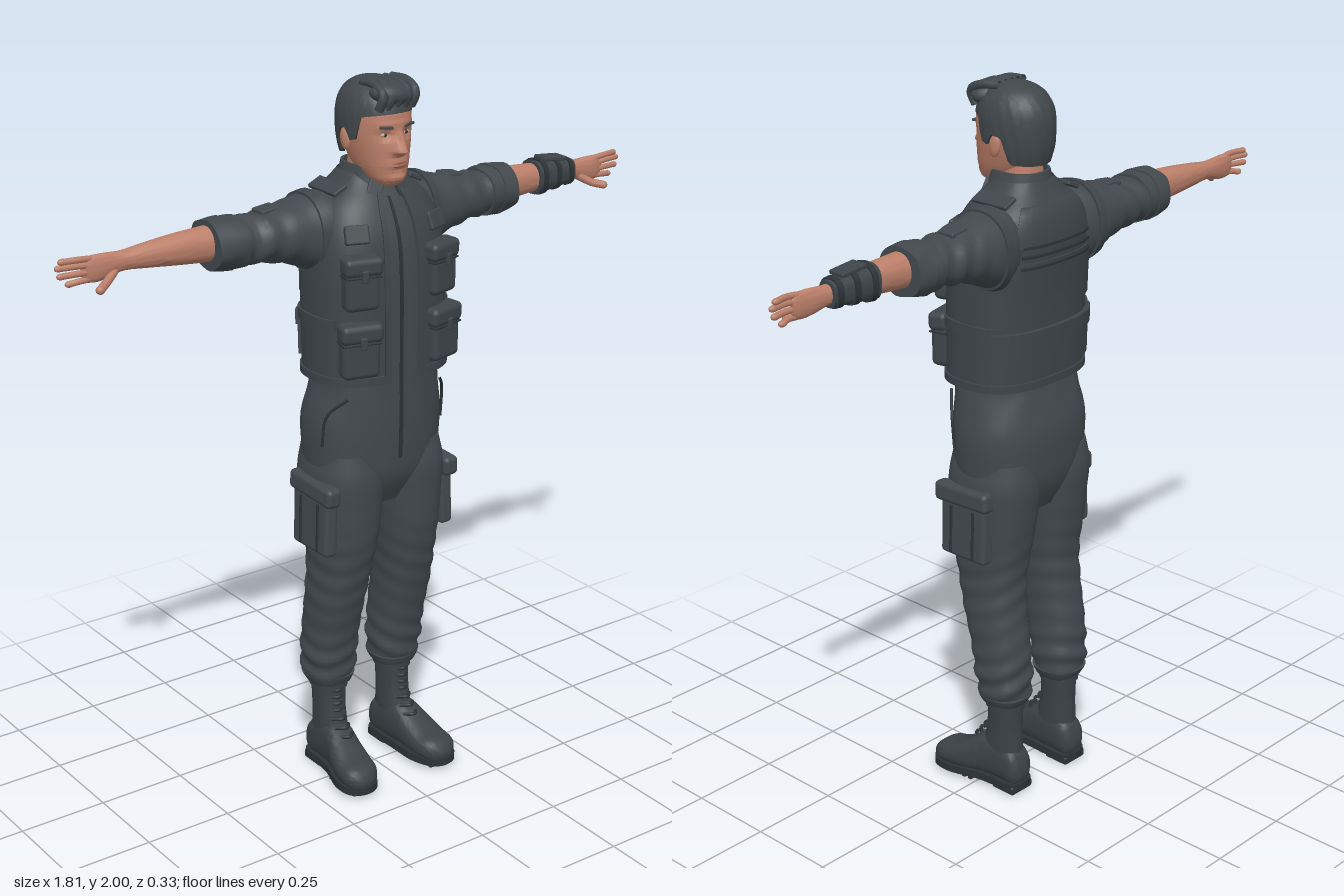
import * as THREE from 'three';
import { toCreasedNormals } from 'three/addons/utils/BufferGeometryUtils.js';
import { RoundedBoxGeometry } from 'three/addons/geometries/RoundedBoxGeometry.js';

const PI = Math.PI;
const mat = (name, color) => Object.assign(new THREE.MeshStandardMaterial({ color }), { name });

// Smooth bounds [a0, a1, b0, b1] at position p along a list of cross-sections
function sample(rows, p) {
  let i = 0;
  while (i < rows.length - 2 && p > rows[i + 1][0]) i++;
  const a = rows[i], b = rows[i + 1], h = b[0] - a[0], t = Math.min(1, Math.max(0, (p - a[0]) / h));
  const q = rows[i - 1] || a, r = rows[i + 2] || b, t2 = t * t, t3 = t2 * t;
  return [1, 2, 3, 4].map((k) => {
    const m0 = (b[k] - q[k]) / (b[0] - q[0]) * h, m1 = (r[k] - a[k]) / (r[0] - a[0]) * h;
    return (2 * t3 - 3 * t2 + 1) * a[k] + (t3 - 2 * t2 + t) * m0 + (3 * t2 - 2 * t3) * b[k] + (t3 - t2) * m1;
  });
}

// Skin rounded cross-sections along an axis; a band is a raised strip of the same surface
function loft(rows, o = {}) {
  const { axis = 'y', from = rows[0][0], to = rows[rows.length - 1][0], steps = 28, seg = 36, n = 2.4,
    t0 = 0, t1 = 2 * PI, grow = 0, band = false, bump = () => 0, crease = 0.9 } = o;
  const full = t1 - t0 > 6.28, pos = [], idx = [];
  const ps = [], ts = [];
  for (let i = 0; i <= steps; i++) ps.push([from + (to - from) * i / steps, grow]);
  for (let j = 0; j <= seg; j++) ts.push([t0 + (t1 - t0) * j / seg, 1]);
  if (band) { ps.unshift([from, -0.004]); ps.push([to, -0.004]); }
  if (band && !full) { ts.unshift([t0, 0]); ts.push([t1, 0]); }
  const put = (u, p, v) => pos.push(...(axis === 'y' ? [u, p, v] : axis === 'x' ? [p, v, u] : [v, u, p]));
  for (const [p, gr] of ps) {
    const [a0, a1, b0, b1] = sample(rows, p);
    for (const [t, k] of ts) {
      const c = Math.cos(t), s = Math.sin(t), e = 2 / n;
      const cu = Math.sign(c) * Math.abs(c) ** e, sv = Math.sign(s) * Math.abs(s) ** e;
      const u = (a0 + a1) / 2 + (a1 - a0) / 2 * cu, v = (b0 + b1) / 2 + (b1 - b0) / 2 * sv;
      const g = (k ? gr : -0.004) + bump(p, u, v);
      put(u + g * cu, p, v + g * sv);
    }
  }
  const w = ts.length, last = ps.length - 1;
  for (let i = 0; i < last; i++) for (let j = 0; j < w - 1; j++) {
    const a = i * w + j, b = a + w;
    idx.push(a, b, a + 1, b, b + 1, a + 1);
  }
  if (full && !band) for (const [i, flip] of [[0, false], [last, true]]) {
    const [a0, a1, b0, b1] = sample(rows, ps[i][0]), c = pos.length / 3;
    put((a0 + a1) / 2, ps[i][0], (b0 + b1) / 2);
    for (let j = 0; j < w - 1; j++) idx.push(c, i * w + j + (flip ? 1 : 0), i * w + j + (flip ? 0 : 1));
  }
  const geo = new THREE.BufferGeometry();
  geo.setAttribute('position', new THREE.Float32BufferAttribute(pos, 3));
  geo.setIndex(idx);
  return toCreasedNormals(geo, crease);
}

function mirrored(geo) {
  const g = geo.index ? geo.toNonIndexed() : geo.clone();
  g.applyMatrix4(new THREE.Matrix4().makeScale(-1, 1, 1));
  for (const a of Object.values(g.attributes)) {
    for (let i = 0; i < a.count; i += 3) for (let k = 0; k < a.itemSize; k++) {
      const x = a.getComponent(i + 1, k);
      a.setComponent(i + 1, k, a.getComponent(i + 2, k));
      a.setComponent(i + 2, k, x);
    }
  }
  return g;
}

const box = (w, h, d, x, y, z, ry = 0, rx = 0, rz = 0) => new RoundedBoxGeometry(w, h, d, 2, Math.min(w, h, d) * 0.3)
  .rotateX(rx).rotateZ(rz).rotateY(ry).translate(x, y, z);
const ball = (x, y, z, a, b, c) => new THREE.SphereGeometry(1, 20, 14).scale(a, b, c).translate(x, y, z);
const tube = (pts, r, seg = 12) => new THREE.TubeGeometry(
  new THREE.CatmullRomCurve3(pts.map((p) => new THREE.Vector3(...p))), seg, r, 8);
const bell = (x, c, w) => Math.exp(-(((x - c) / w) ** 2));

export function createModel() {
  const root = new THREE.Group();
  root.name = 'standingMan';
  const suit = mat('suitGrey', 0x42494d), vestM = mat('vestGrey', 0x3e4549), bootM = mat('bootGrey', 0x3b4246);
  const hairM = mat('hairGrey', 0x40474b), trim = mat('darkTrim', 0x2d3336), skin = mat('skin', 0xbb7f69);
  const lip = mat('lips', 0x9d6152), white = mat('eyeWhite', 0xb5aca4);
  vestM.side = THREE.DoubleSide; suit.side = THREE.DoubleSide;
  const add = (name, geo, m) => {
    const mesh = new THREE.Mesh(geo, m);
    mesh.name = name;
    root.add(mesh);
  };
  const both = (name, geo, m) => { add(name + 'Left', geo, m); add(name + 'Right', mirrored(geo), m); };
  const sym = (list) => list.map(([y, x, b, f]) => [y, -x, x, b, f]);

  // Suit body and legs
  const torso = sym([[0.84, 0.13, -0.11, 0.07], [0.92, 0.185, -0.145, 0.108], [1.0, 0.197, -0.155, 0.117],
    [1.08, 0.199, -0.155, 0.12], [1.15, 0.188, -0.14, 0.12], [1.21, 0.178, -0.126, 0.12], [1.35, 0.18, -0.13, 0.12],
    [1.5, 0.185, -0.142, 0.118], [1.6, 0.172, -0.145, 0.105], [1.68, 0.13, -0.13, 0.068], [1.73, 0.075, -0.1, 0.03]]);
  add('suitBody', loft(torso, { steps: 50, bump: (p, u, v) => 0.0025 * bell(p, 1.2, 0.07) * Math.sin(u * 60 + p * 40) }), suit);
  add('frontZip', loft(torso, { from: 0.98, to: 1.69, t0: PI / 2 - 0.012, t1: PI / 2 + 0.012, seg: 2, grow: 0.004, band: true }), trim);
  both('hipPocketSeam', tube([[0.15, 1.17, 0.09], [0.19, 1.12, 0.05], [0.197, 1.03, 0.035]], 0.004), trim);
  const leg = [[0.27, 0.058, 0.163, -0.122, -0.012], [0.3, 0.045, 0.178, -0.138, 0], [0.36, 0.04, 0.185, -0.14, 0.012],
    [0.45, 0.04, 0.185, -0.135, 0.03], [0.55, 0.037, 0.187, -0.12, 0.056], [0.65, 0.028, 0.186, -0.116, 0.08],
    [0.75, 0.014, 0.19, -0.13, 0.1], [0.85, 0.002, 0.196, -0.143, 0.108], [0.93, 0, 0.199, -0.15, 0.112], [1.0, 0.02, 0.185, -0.14, 0.1]];
  both('leg', loft(leg, { steps: 60, bump: (p, u, v) =>
    (0.005 * bell(p, 0.34, 0.09) + 0.002 * bell(p, 0.62, 0.12)) * Math.sin(p * 95 + v * 25 + u * 30) }), suit);
  both('trouserCuff', loft(leg, { from: 0.275, to: 0.3, steps: 3, grow: 0.004, band: true }), suit);

  // Thigh pockets
  both('thighPocket', box(0.04, 0.17, 0.16, 0.193, 0.805, -0.005, 0, 0, 0.03), suit);
  both('thighPocketFlap', box(0.046, 0.055, 0.19, 0.196, 0.9, 0, 0, 0.04, 0.03), suit);
  for (const z of [-0.045, 0.035]) both('thighPocketPleat', box(0.006, 0.14, 0.008, 0.214, 0.8, z, 0, 0, 0.03), trim);

  // Boots
  const shaft = [[0.06, 0.07, 0.152, -0.125, 0.01], [0.12, 0.07, 0.152, -0.122, 0], [0.2, 0.07, 0.152, -0.118, -0.016],
    [0.3, 0.066, 0.156, -0.122, -0.018]];
  both('bootShaft', loft(shaft), bootM);
  both('bootCollar', loft(shaft, { from: 0.255, to: 0.275, steps: 3, grow: 0.005, band: true }), bootM);
  const foot = [[-0.138, 0.04, 0.075, 0.09, 0.135], [-0.125, 0.022, 0.12, 0.072, 0.15], [-0.07, 0.02, 0.15, 0.068, 0.155],
    [-0.01, 0.02, 0.15, 0.07, 0.162], [0.04, 0.02, 0.118, 0.072, 0.178], [0.09, 0.02, 0.092, 0.075, 0.187],
    [0.13, 0.02, 0.082, 0.085, 0.185], [0.15, 0.022, 0.066, 0.105, 0.17], [0.158, 0.03, 0.05, 0.125, 0.155]];
  both('bootFoot', loft(foot, { axis: 'z', n: 2.7 }), bootM);
  const outline = new THREE.Shape();
  outline.setFromPoints(new THREE.SplineCurve([[0.112, -0.142], [0.153, -0.125], [0.158, -0.06], [0.166, 0], [0.19, 0.08], [0.182, 0.14],
    [0.14, 0.162], [0.095, 0.145], [0.07, 0.08], [0.068, 0], [0.066, -0.06], [0.07, -0.125], [0.112, -0.142]]
    .map(([x, z]) => new THREE.Vector2(x, -z))).getPoints(60));
  both('bootSole', new THREE.ExtrudeGeometry(outline, { depth: 0.022, bevelEnabled: false }).rotateX(-PI / 2).translate(0, 0.012, 0), trim);
  both('bootHeel', box(0.084, 0.026, 0.08, 0.112, 0.013, -0.094), trim);
  for (let i = 0; i < 6; i++) both('soleLug', box(0.09 - 0.004 * i * (i > 3), 0.02, 0.014, 0.124 + 0.002 * i, 0.01, 0.02 + i * 0.022), trim);
  for (let i = 0; i < 7; i++) {
    const y = 0.125 + i * 0.021, z = 0.034 - 0.05 * Math.min(1, i / 3);
    both('bootLace', tube([[0.09, y, z - 0.018], [0.113, y + 0.004, z + 0.004], [0.136, y, z - 0.018]], 0.005), trim);
  }

  // Sleeves with rolled ends
  const sleeve = [[0.11, -0.135, 0.05, 1.5, 1.7], [0.16, -0.148, 0.045, 1.49, 1.703], [0.2, -0.15, 0.036, 1.505, 1.695],
    [0.25, -0.145, 0.03, 1.527, 1.684], [0.3, -0.14, 0.024, 1.54, 1.675], [0.36, -0.135, 0.014, 1.548, 1.668],
    [0.42, -0.13, 0.008, 1.55, 1.67], [0.478, -0.126, 0.004, 1.558, 1.668]];
  both('sleeve', loft(sleeve, { axis: 'x', steps: 50, n: 2.2, bump: (p, u, v) =>
    0.004 * bell(p, 0.36, 0.1) * Math.sin(p * 90 + u * 40 + v * 25) }), suit);
  for (const [a, b, g] of [[0.39, 0.432, 0.006], [0.428, 0.478, 0.009]])
    both('sleeveRoll', loft(sleeve, { axis: 'x', from: a, to: b, steps: 6, n: 2.2, grow: g, band: true,
      bump: (p, u, v) => 0.002 * Math.sin(u * 90 + v * 60 + p * 40) }), suit);
  both('sleeveTab', box(0.055, 0.012, 0.05, 0.295, 1.675, -0.065, 0, 0, -0.12), suit);

  // Forearms and hands
  const arm = [[0.42, -0.11, -0.012, 1.57, 1.666], [0.5, -0.1, -0.02, 1.573, 1.663], [0.58, -0.097, -0.025, 1.58, 1.658],
    [0.66, -0.09, -0.034, 1.588, 1.65], [0.72, -0.083, -0.043, 1.592, 1.643], [0.755, -0.08, -0.045, 1.584, 1.645],
    [0.79, -0.076, -0.045, 1.577, 1.647], [0.82, -0.072, -0.05, 1.58, 1.645], [0.832, -0.067, -0.056, 1.59, 1.638]];
  both('forearmAndPalm', loft(arm, { axis: 'x', n: 2.2 }), skin);
  [[1.638, 0.882, 1.642], [1.621, 0.892, 1.627], [1.604, 0.887, 1.606], [1.588, 0.865, 1.583]].forEach(([y, x, yt]) => {
    both('finger', tube([[0.8, y, -0.061], [0.84, (y + yt) / 2 + 0.002, -0.059], [x, yt, -0.066]], 0.0085), skin);
    both('fingertip', ball(x, yt, -0.066, 0.012, 0.0085, 0.0085), skin);
  });
  both('thumb', tube([[0.745, 1.598, -0.055], [0.78, 1.578, -0.036], [0.808, 1.57, -0.016]], 0.011), skin);
  both('thumbTip', ball(0.808, 1.57, -0.016, 0.012, 0.011, 0.011), skin);

  // Wrist guard on the left forearm
  add('wristGuard', loft(arm, { axis: 'x', from: 0.58, to: 0.72, steps: 8, n: 2.8, grow: 0.008, band: true }), vestM);
  for (const x of [0.592, 0.645, 0.695])
    add('wristGuardStrap', loft(arm, { axis: 'x', from: x, to: x + 0.016, steps: 2, n: 2.8, grow: 0.012, band: true }), trim);
  add('wristGuardPlate', box(0.08, 0.012, 0.05, 0.65, 1.664, -0.063, 0, 0, -0.1), vestM);

  // Open vest with hem, edges, armholes and back panels
  const vest = sym([[1.21, 0.197, -0.143, 0.138], [1.3, 0.197, -0.146, 0.138], [1.45, 0.197, -0.15, 0.136], [1.55, 0.192, -0.157, 0.13],
    [1.62, 0.178, -0.158, 0.115], [1.68, 0.15, -0.146, 0.085], [1.72, 0.104, -0.118, 0.055], [1.75, 0.076, -0.098, 0.035]]);
  const gap = 0.17, around = { t0: PI / 2 + gap, t1: PI * 2.5 - gap, seg: 48, n: 2.6 };
  add('vest', loft(vest, { ...around, steps: 36 }), vestM);
  add('vestHem', loft(vest, { ...around, from: 1.21, to: 1.232, steps: 2, grow: 0.005, band: true }), vestM);
  both('vestFrontEdge', loft(vest, { from: 1.21, to: 1.74, t0: PI / 2 - gap - 0.06, t1: PI / 2 - gap + 0.02, seg: 4, n: 2.6, grow: 0.006, band: true }), vestM);
  both('vestArmhole', loft(sleeve, { axis: 'x', from: 0.165, to: 0.19, steps: 3, n: 2.2, grow: 0.007, band: true }), vestM);
  const back = (name, a, b, half, grow, m = vestM) => add(name, loft(vest, { from: a, to: b, steps: 6, seg: 24, n: 2.6,
    t0: 1.5 * PI - half, t1: 1.5 * PI + half, grow, band: true }), m);
  back('backYoke', 1.6, 1.7, 0.75, 0.006);
  back('backPanel', 1.42, 1.56, 0.85, 0.005);
  back('lowerBackPouch', 1.25, 1.36, 1.0, 0.008);
  back('lowerBackFlap', 1.335, 1.375, 1.05, 0.013);
  for (const y of [1.545, 1.575, 1.6]) back('backSeam', y, y + 0.007, 0.6, 0.009, trim);
  both('sideStrap', loft(vest, { from: 1.36, to: 1.39, steps: 2, seg: 8, n: 2.6, t0: -0.7, t1: 0.5, grow: 0.006, band: true }), vestM);

  // Vest pockets
  const pocket = (name, w, h, x, y, z, ry) => {
    both(name, box(w, h, 0.055, x, y, z, ry), vestM);
    both(name + 'Flap', box(w + 0.012, h * 0.36, 0.058, x, y + h * 0.36, z + 0.006, ry, 0.06), vestM);
    both(name + 'FlapShadowSeam', box(w + 0.002, 0.005, 0.057, x, y + h * 0.16, z + 0.001, ry), trim);
    both(name + 'Tab', box(0.018, 0.032, 0.01, x + 0.033 * Math.sin(ry), y + h * 0.2, z + 0.034, ry), vestM);
  };
  pocket('chestPocket', 0.095, 0.14, 0.126, 1.49, 0.113, 0.25);
  pocket('lowerPocket', 0.105, 0.145, 0.132, 1.31, 0.115, 0.25);
  both('shoulderPatch', box(0.065, 0.05, 0.02, 0.125, 1.615, 0.096, 0.35, -0.35), vestM);
  both('shoulderStrap', box(0.045, 0.012, 0.12, 0.12, 1.712, -0.04, 0, 0, -0.45), vestM);

  // Neck and collar
  add('neck', loft(sym([[1.66, 0.05, -0.09, 0.035], [1.7, 0.056, -0.085, 0.03], [1.75, 0.055, -0.08, 0.035], [1.79, 0.054, -0.075, 0.05]])), skin);
  const collar = sym([[1.69, 0.086, -0.105, 0.062], [1.73, 0.075, -0.1, 0.055], [1.77, 0.066, -0.094, 0.05]]);
  add('collar', loft(collar, { t0: PI / 2 + 0.3, t1: PI * 2.5 - 0.3, grow: 0.003, band: true }), suit);
  both('collarPoint', box(0.04, 0.055, 0.012, 0.04, 1.715, 0.058, 0.45, -0.3, 0.35), suit);

  // Head: nose, eye sockets, lips and chin shaped by a rule
  const head = sym([[1.722, 0.022, 0.03, 0.085], [1.735, 0.042, 0, 0.1], [1.765, 0.06, -0.05, 0.106], [1.8, 0.071, -0.08, 0.106],
    [1.84, 0.079, -0.095, 0.105], [1.88, 0.082, -0.1, 0.104], [1.92, 0.08, -0.1, 0.1], [1.955, 0.065, -0.08, 0.08], [1.975, 0.04, -0.05, 0.05]]);
  const face = (y, x, z) => {
    if (z < 0.03) return 0;
    const ny = y > 1.818 ? Math.max(0, 1 - (y - 1.818) / 0.06) : Math.max(0, 1 - (1.818 - y) / 0.018);
    return 0.034 * ny * bell(x, 0, 0.011 + 0.005 * ny) - 0.009 * bell(Math.abs(x), 0.033, 0.016) * bell(y, 1.86, 0.012)
      + 0.004 * bell(y, 1.885, 0.01) * bell(x, 0, 0.05) + 0.005 * bell(x, 0, 0.025) * bell(y, 1.783, 0.012)
      + 0.005 * bell(x, 0, 0.022) * bell(y, 1.745, 0.012) - 0.004 * bell(y, 1.765, 0.007) * bell(x, 0, 0.03);
  };
  add('head', loft(head, { steps: 72, seg: 96, n: 2.3, bump: face, crease: 1.3 }), skin);
  both('ear', ball(0.085, 0, 0, 0.009, 0.03, 0.018).rotateX(-0.15).translate(0, 1.84, -0.01), skin);
  both('eye', ball(0.033, 1.86, 0.088, 0.012, 0.0055, 0.006), white);
  both('iris', ball(0.033, 1.86, 0.0915, 0.005, 0.005, 0.0035), trim);
  both('eyebrow', box(0.036, 0.007, 0.009, 0.035, 1.881, 0.1, 0.22, 0, 0.08), hairM);
  for (const y of [1.787, 1.779]) add('lip', ball(0, y, 0.107, 0.02, 0.0042, 0.006), lip);

  // Hair shell with a shaped hairline, and a swept front
  const line = [[-1, 1.79], [-0.45, 1.795], [-0.25, 1.865], [0.05, 1.87], [0.15, 1.84], [0.35, 1.845], [0.5, 1.905], [1, 1.915]];
  const hairline = (s) => {
    let i = 0;
    while (i < line.length - 2 && s > line[i + 1][0]) i++;
    return THREE.MathUtils.mapLinear(s, line[i][0], line[i + 1][0], line[i][1], line[i + 1][1]);
  };
  const shell = new THREE.SphereGeometry(1, 72, 28), P = shell.attributes.position;
  for (let i = 0; i < P.count; i++) {
    const row = Math.floor(i / 73), th = (i % 73) / 72 * 2 * PI, c = Math.cos(th), s = Math.sin(th);
    const low = hairline(s), f = Math.min(1, row / 26), y = 1.993 - (1.993 - low) * f ** 1.6;
    const d = (y - 1.885) / (y > 1.885 ? 0.108 : 0.16);
    const r = Math.max(0, 1 - Math.abs(d) ** 2.4) ** (1 / 2.4) * (row > 26 ? 0.85 : 1 + 0.008 * Math.sin(th * 22 + y * 50));
    P.setXYZ(i, -0.092 * r * c, y, -0.004 + 0.113 * r * s);
  }
  const hairGeo = toCreasedNormals(shell, 1.2);
  const hair2 = hairM.clone();
  hairM.side = THREE.DoubleSide;
  hair2.name = 'hairFront';
  add('hairShell', hairGeo, hairM);
  add('hairFrontSweep', ball(0, 0, 0, 0.068, 0.032, 0.045).rotateZ(-0.12).translate(0.008, 1.958, 0.068), hairM);
  for (let i = 0; i < 5; i++) {
    const x = -0.05 + i * 0.025;
    add('hairLock', tube([[x, 1.925, 0.088], [x + 0.006, 1.96, 0.1], [x + 0.01, 1.983, 0.06], [x * 0.9, 1.986, 0.01]], 0.012), hairM);
  }
  return root;
}
